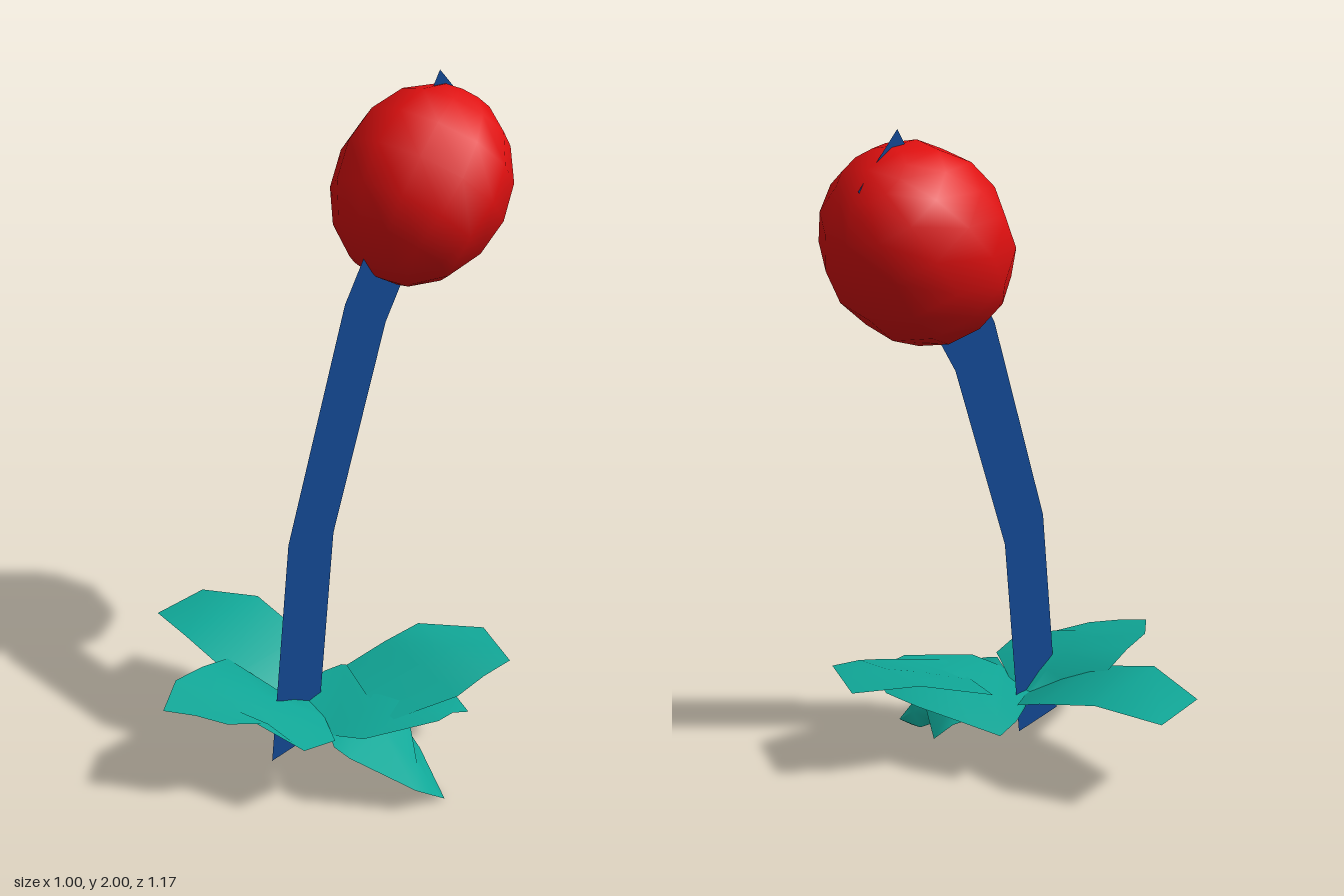
import * as THREE from 'three';

const mat = (color) => new THREE.MeshStandardMaterial({ color, side: THREE.DoubleSide });

// Thin sheet lofted through rows of [x, y, z] points running from root to tip
function sheet(name, rows, material) {
  const n = rows[0].length;
  const index = [];
  for (let r = 0; r < rows.length - 1; r++) {
    for (let c = 0; c < n - 1; c++) {
      const a = r * n + c, b = a + n;
      index.push(a, a + 1, b, a + 1, b + 1, b);
    }
  }
  const geo = new THREE.BufferGeometry();
  geo.setAttribute('position', new THREE.Float32BufferAttribute(rows.flat(2), 3));
  geo.setIndex(index);
  geo.computeVertexNormals();
  const mesh = new THREE.Mesh(geo, material);
  mesh.name = name;
  return mesh;
}

export function createModel() {
  const group = new THREE.Group();
  group.name = 'flower';
  const teal = mat(0x10a898);
  const blue = mat(0x12468f);
  const red = mat(0xe01010);

  // Stem: flat bent ribbon, [front z, front y, back z, back y]
  const stemX = 0.065;
  const stem = [
    [0.305, 0.07, 0.105, 0.07],
    [0.225, 0.765, 0.035, 0.73],
    [-0.01, 1.42, -0.185, 1.32],
    [-0.4, 2.0, -0.55, 1.865],
  ].map(([z1, y1, z2, y2]) => [[stemX, y1, z1], [stemX, y2, z2]]);
  group.add(sheet('stem', stem, blue));

  // Bloom: faceted ball, slightly stretched along the stem
  const bloom = new THREE.Mesh(new THREE.SphereGeometry(1, 12, 8), red);
  bloom.name = 'bloom';
  bloom.scale.set(0.25, 0.29, 0.252);
  bloom.rotation.x = -0.7;
  bloom.position.set(0.075, 1.692, -0.32);
  group.add(bloom);

  // Right leaf: straight arch, [x, y, back z, front z]
  const rightLeaf = [
    [0.05, 0.2, 0.12, 0.16],
    [0, 0.225, 0.01, 0.26],
    [-0.11, 0.28, -0.025, 0.29],
    [-0.31, 0.34, -0.025, 0.29],
    [-0.5, 0.315, 0.035, 0.23],
  ].map(([x, y, z1, z2]) => [[x, y, z1], [x, y, z2]]);
  group.add(sheet('rightLeaf', rightLeaf, teal));

  // Front leaf, twisted up to one side
  group.add(sheet('frontLeaf', [
    [[0.02, 0.2, 0.15], [0.04, 0.2, 0.14], [0.06, 0.2, 0.14]],
    [[-0.1, 0.215, 0.21], [0.04, 0.25, 0.22], [0.15, 0.2, 0.17]],
    [[-0.17, 0.3, 0.25], [0.03, 0.285, 0.3], [0.275, 0.22, 0.26]],
    [[-0.165, 0.325, 0.36], [0.03, 0.3, 0.37], [0.27, 0.25, 0.385]],
    [[-0.16, 0.335, 0.47], [0, 0.31, 0.44], [0.14, 0.285, 0.395]],
    [[-0.09, 0.32, 0.585], [-0.01, 0.315, 0.535], [0.07, 0.3, 0.49]],
  ], teal));

  // Drooping leaf that touches the ground
  group.add(sheet('droopingLeaf', [
    [[0.1, 0.2, 0.14], [0.07, 0.2, 0.08], [0.07, 0.19, 0]],
    [[0.275, 0.2, 0.265], [0.18, 0.185, 0.06], [0.13, 0.18, -0.14]],
    [[0.33, 0.185, 0.26], [0.28, 0.16, 0.06], [0.19, 0.12, -0.16]],
    [[0.48, 0.08, 0.14], [0.41, 0.09, 0.05], [0.27, 0.105, -0.06]],
    [[0.49, 0.04, 0.085], [0.45, 0.04, 0.04], [0.34, 0.06, -0.05]],
    [[0.5, 0, 0.03], [0.5, 0, 0.03], [0.42, 0.02, 0]],
  ], teal));

  // Level leaf on the left
  group.add(sheet('leftLeaf', [
    [[0, 0.2, 0.05], [-0.02, 0.19, -0.02], [-0.02, 0.175, -0.1]],
    [[0.05, 0.2, 0.14], [0.1, 0.215, 0.02], [0.12, 0.2, -0.14]],
    [[0.235, 0.2, 0.225], [0.25, 0.245, 0.03], [0.25, 0.21, -0.16]],
    [[0.33, 0.22, 0.2], [0.38, 0.255, 0], [0.38, 0.215, -0.16]],
    [[0.46, 0.25, 0.02], [0.465, 0.25, -0.04], [0.47, 0.22, -0.11]],
  ], teal));

  // Raised leaf at the back left
  group.add(sheet('backLeaf', [
    [[0.35, 0.24, 0.09], [0.2, 0.235, 0.04], [0.07, 0.25, -0.02]],
    [[0.45, 0.28, -0.08], [0.28, 0.3, -0.11], [0.12, 0.3, -0.14]],
    [[0.47, 0.31, -0.18], [0.33, 0.335, -0.21], [0.17, 0.34, -0.24]],
    [[0.49, 0.325, -0.28], [0.4, 0.325, -0.33], [0.32, 0.325, -0.375]],
  ], teal));

  return group;
}
